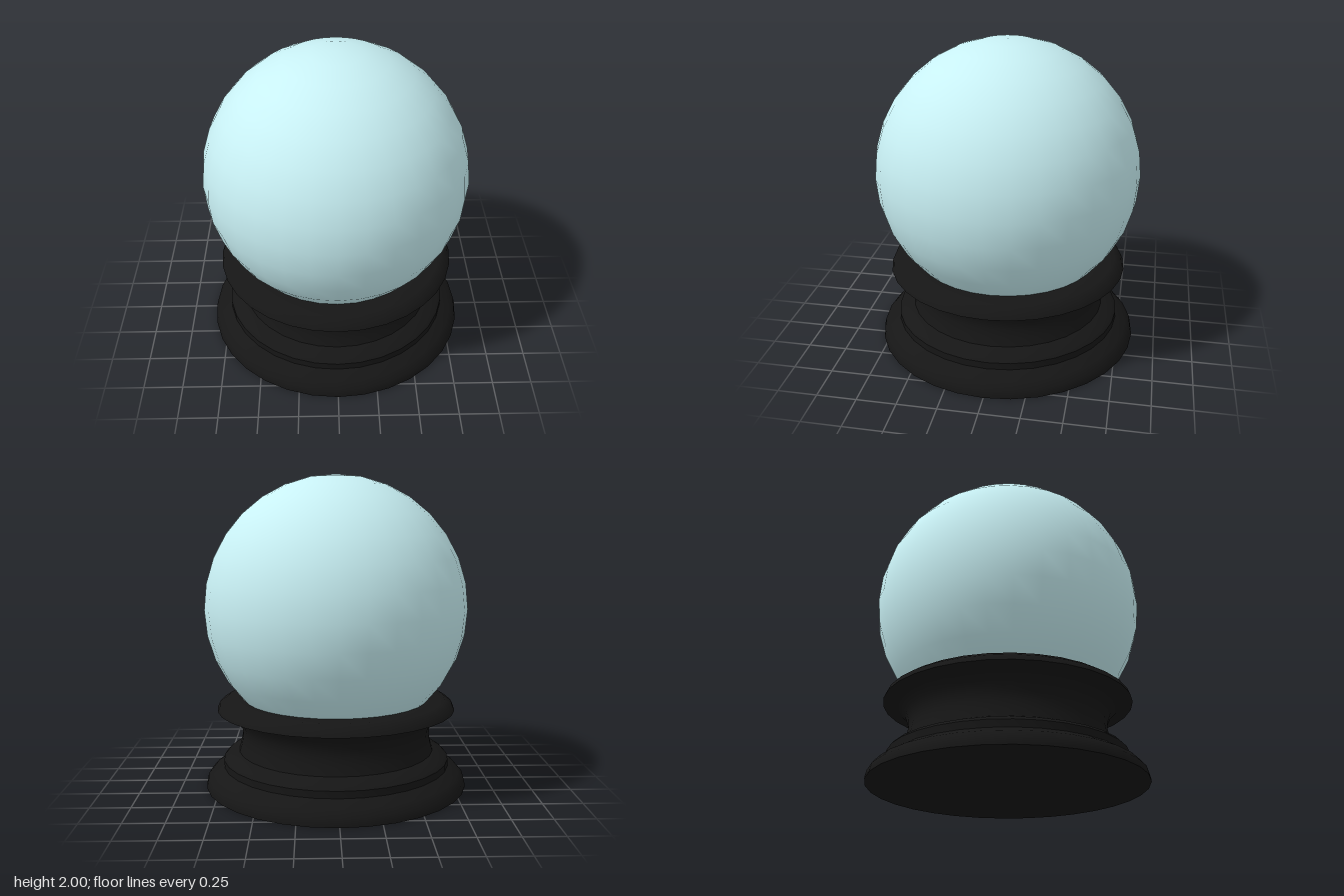
import * as THREE from 'three';
import { toCreasedNormals } from 'three/addons/utils/BufferGeometryUtils.js';

const SIDES = 32;

function addPart(group, name, geometry, color) {
  const mesh = new THREE.Mesh(geometry, new THREE.MeshStandardMaterial({ color }));
  mesh.name = name;
  group.add(mesh);
  return mesh;
}

export function createModel() {
  const model = new THREE.Group();
  model.name = 'crystalBall';

  // Glass ball, its underside sunk into the stand
  const ball = addPart(model, 'ball', new THREE.SphereGeometry(0.842, SIDES, 16), 0xc8f0f4);
  ball.position.y = 1.158;

  // Turned stand: profile from the bottom centre up to the top centre
  const profile = [
    [0, 0], [0.85, 0],
    [0.85, 0.01], [0.84, 0.05], [0.805, 0.09], [0.735, 0.13], // rounded foot
    [0.735, 0.175], [0.715, 0.196], [0.635, 0.227],           // step
    [0.62, 0.28], [0.61, 0.335], [0.614, 0.38],               // hollow waist
    [0.635, 0.435], [0.68, 0.48], [0.772, 0.5],
    [0.757, 0.535], [0.708, 0.567],                           // rim
    [0.58, 0.567], [0, 0.567],
  ].map(([r, y]) => new THREE.Vector2(r, y));
  const stand = toCreasedNormals(new THREE.LatheGeometry(profile, SIDES), 0.75);
  addPart(model, 'stand', stand, 0x161616);

  return model;
}
